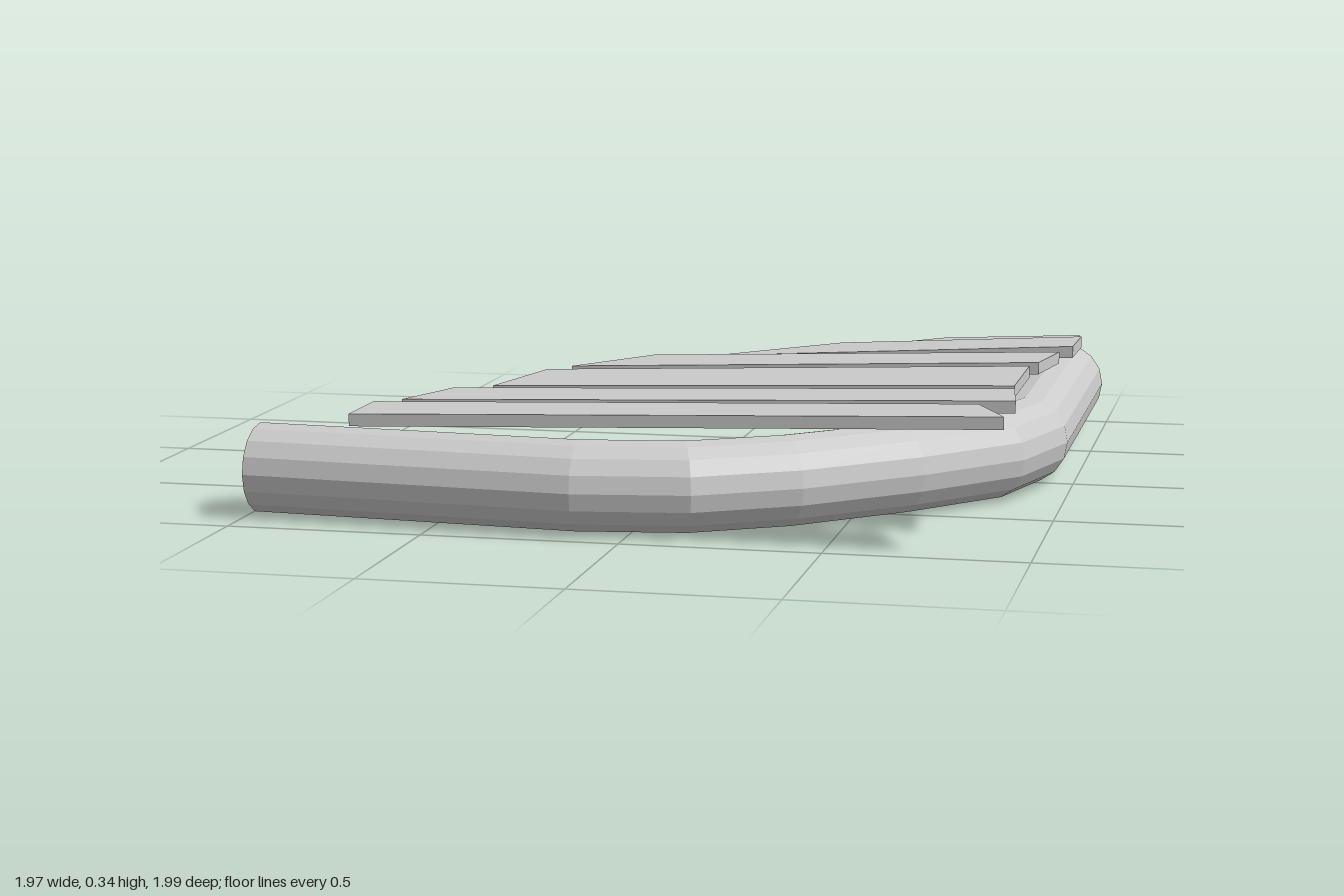
import * as THREE from 'three';

const RADIUS = 0.115;
const SIDES = 16;

const material = new THREE.MeshStandardMaterial({ color: 0xcccccc, flatShading: true });
const openMaterial = new THREE.MeshStandardMaterial({
  color: 0xcccccc, flatShading: true, side: THREE.DoubleSide,
});

// Centre line of the bent pipe as [x, z]
const PATH = [
  [0.87, -1], [0.87, 0], [0.80, 0.24], [0.60, 0.475],
  [0.35, 0.705], [0.13, 0.835], [-0.13, 0.873], [-0.98, 0.805],
].map(([x, z]) => new THREE.Vector2(x, z));

// Plank outlines as [x, z]: back left, back right, front right, front left
const PLANKS = [
  { outline: [[-0.695, 0.755], [0.845, 0.80], [0.93, 0.99], [-0.695, 0.95]] },
  { outline: [[-0.555, 0.52], [0.905, 0.565], [0.93, 0.755], [-0.635, 0.71]] },
  { outline: [[-0.40, 0.165], [0.90, 0.195], [0.90, 0.525], [-0.47, 0.45]] },
  { outline: [[-0.17, -0.115], [0.95, -0.07], [0.915, 0.12], [-0.355, 0.08]] },
  { outline: [[0.31, -0.38], [0.98, -0.37], [0.975, -0.18], [-0.02, -0.19]] },
  { outline: [[0.58, -0.54], [0.96, -0.53], [0.96, -0.43], [0.39, -0.43]], low: 0.275, rise: 0.03, thick: 0.02 },
];

// Open pipe with mitred rings at each bend
function pipeGeometry() {
  const positions = [], indices = [];
  const last = PATH.length - 1;
  PATH.forEach((p, i) => {
    const before = p.clone().sub(PATH[Math.max(i - 1, 0)]).normalize();
    const after = PATH[Math.min(i + 1, last)].clone().sub(p).normalize();
    const dir = before.add(after).normalize();
    const segment = PATH[Math.min(i + 1, last)].clone().sub(PATH[Math.min(i, last - 1)]).normalize();
    const miter = RADIUS / dir.dot(segment);
    for (let j = 0; j < SIDES; j++) {
      const a = (j / SIDES) * Math.PI * 2;
      const out = Math.cos(a) * miter;
      positions.push(p.x + dir.y * out, RADIUS + Math.sin(a) * RADIUS, p.y - dir.x * out);
      if (i < last) {
        const k = (j + 1) % SIDES, r = i * SIDES, s = r + SIDES;
        indices.push(r + j, r + k, s + j, r + k, s + k, s + j);
      }
    }
  });
  const geometry = new THREE.BufferGeometry();
  geometry.setAttribute('position', new THREE.Float32BufferAttribute(positions, 3));
  geometry.setIndex(indices);
  geometry.computeVertexNormals();
  return geometry;
}

// Four-cornered board that rises evenly towards +x
function plankGeometry({ outline, low = 0.255, rise = 0.058, thick = 0.031 }) {
  const xs = outline.map(([x]) => x);
  const minX = Math.min(...xs), span = Math.max(...xs) - minX;
  const geometry = new THREE.BoxGeometry(1, 1, 1);
  const pos = geometry.attributes.position;
  for (let i = 0; i < pos.count; i++) {
    const right = pos.getX(i) > 0, front = pos.getZ(i) > 0;
    const [x, z] = outline[front ? (right ? 2 : 3) : (right ? 1 : 0)];
    const y = low + rise * (x - minX) / span + (pos.getY(i) > 0 ? thick : 0);
    pos.setXYZ(i, x, y, z);
  }
  geometry.computeVertexNormals();
  return geometry;
}

export function createModel() {
  const model = new THREE.Group();
  model.name = 'plankedPipe';

  const pipe = new THREE.Mesh(pipeGeometry(), openMaterial);
  pipe.name = 'bentPipe';
  model.add(pipe);

  const deck = new THREE.Group();
  deck.name = 'deck';
  PLANKS.forEach((spec, i) => {
    const plank = new THREE.Mesh(plankGeometry(spec), material);
    plank.name = `plank${i + 1}`;
    deck.add(plank);
  });
  model.add(deck);
  return model;
}
